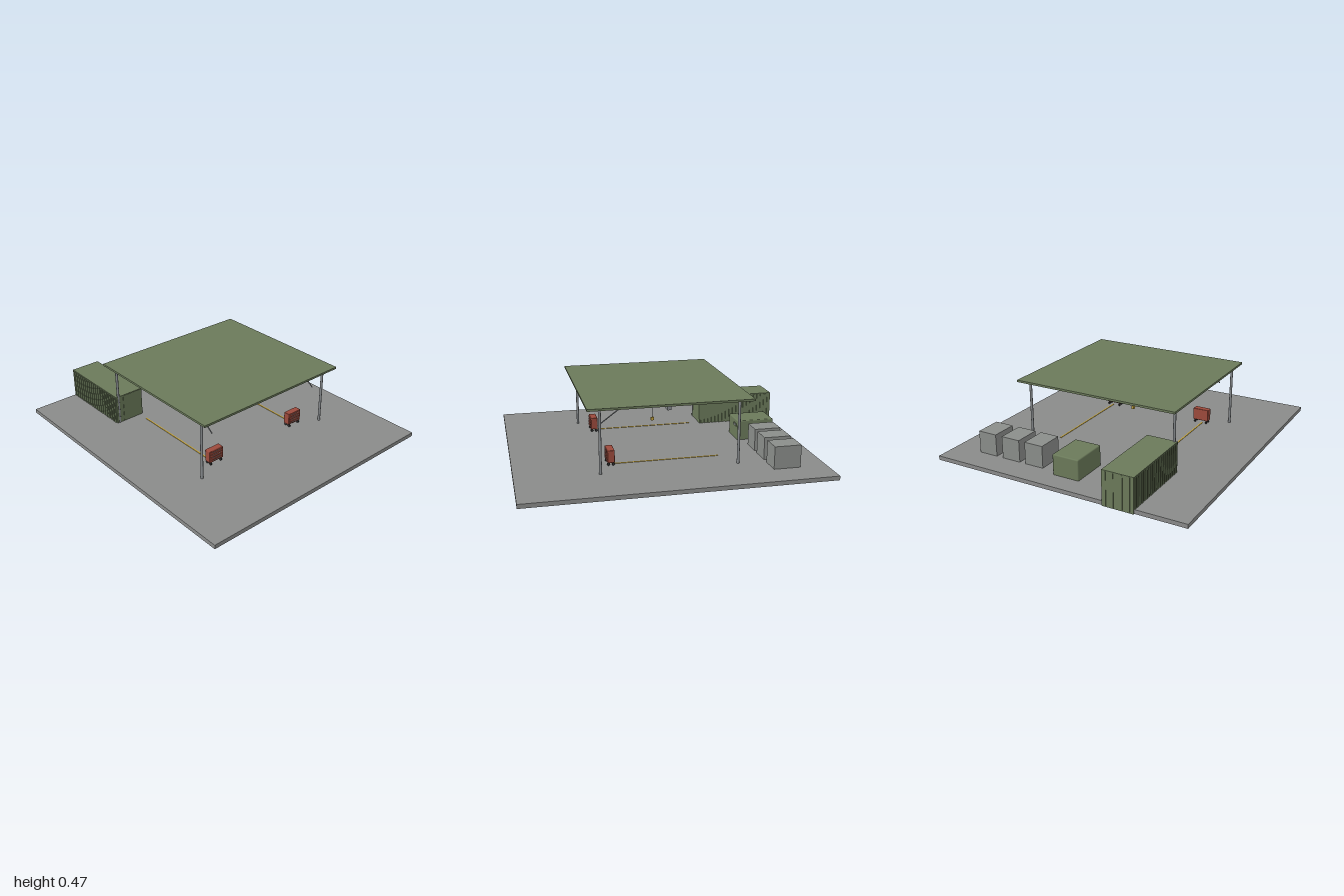
import * as THREE from 'three';
import { RoundedBoxGeometry } from 'three/addons/geometries/RoundedBoxGeometry.js';

const mat = (name, color) => {
  const m = new THREE.MeshStandardMaterial({ color });
  m.name = name;
  return m;
};

export function createModel() {
  const concrete = mat('concrete grey', 0x8a8b8a);
  const olive = mat('olive green', 0x6b7a5a);
  const steel = mat('steel grey', 0x85898c);
  const crateGrey = mat('crate grey', 0x8b8e8b);
  const red = mat('tool red', 0x9c4a3c);
  const yellow = mat('marking yellow', 0xc2a23c);
  const dark = mat('dark rubber', 0x2c2c2c);

  const model = new THREE.Group();
  model.name = 'maintenanceShelter';

  const group = (name, parent = model) => {
    const g = new THREE.Group();
    g.name = name;
    parent.add(g);
    return g;
  };
  const add = (parent, name, geometry, material, x, y, z) => {
    const m = new THREE.Mesh(geometry, material);
    m.name = name;
    m.position.set(x, y, z);
    parent.add(m);
    return m;
  };
  // Box given by its low and high limits on each axis
  const box = (parent, name, material, [x0, x1], [y0, y1], [z0, z1]) =>
    add(parent, name, new THREE.BoxGeometry(x1 - x0, y1 - y0, z1 - z0), material,
      (x0 + x1) / 2, (y0 + y1) / 2, (z0 + z1) / 2);
  // Round bar between two points
  const bar = (parent, name, material, a, b, radius, sides = 8) => {
    const p = new THREE.Vector3(...a), q = new THREE.Vector3(...b);
    const d = q.clone().sub(p);
    const m = add(parent, name, new THREE.CylinderGeometry(radius, radius, d.length(), sides), material,
      (p.x + q.x) / 2, (p.y + q.y) / 2, (p.z + q.z) / 2);
    m.quaternion.setFromUnitVectors(new THREE.Vector3(0, 1, 0), d.normalize());
    return m;
  };

  const floor = 0.03;
  box(model, 'floorSlab', concrete, [-0.9, 0.9], [0.002, floor], [-0.99, 1]);

  // Shelter: roof, posts, trusses and front braces
  const shelter = group('shelter');
  box(shelter, 'roof', olive, [-0.583, 0.583], [0.455, 0.469], [-0.533, 0.543]);
  for (const z of [0.46, -0.443]) {
    for (const x of [-0.54, 0.54]) bar(shelter, 'post', steel, [x, floor, z], [x, 0.456, z], 0.009, 12);
    bar(shelter, 'trussChord', steel, [-0.54, 0.44, z], [0.54, 0.44, z], 0.003);
    const n = 16, step = 1.08 / n;
    for (let i = 0; i < n; i++) {
      const x = -0.54 + i * step, up = i % 2;
      bar(shelter, 'trussWeb', steel, [x, up ? 0.455 : 0.44, z], [x + step, up ? 0.44 : 0.455, z], 0.002, 6);
    }
  }
  for (const x of [-0.452, 0.452]) bar(shelter, 'brace', steel, [x, 0.322, 0.457], [x, 0.456, 0.275], 0.004);

  // Overhead hoist
  const hoist = group('hoist');
  box(hoist, 'hoistBeam', steel, [-0.495, 0.495], [0.405, 0.431], [-0.007, 0.02]);
  bar(hoist, 'hoistCable', steel, [0, 0.456, 0.007], [0, 0.205, 0.007], 0.0025);
  box(hoist, 'hoistHook', yellow, [-0.008, 0.008], [0.19, 0.211], [-0.003, 0.017]);

  // Floor guide lines
  for (const x of [-0.37, 0.37])
    box(model, 'guideLine', yellow, [x - 0.005, x + 0.005], [floor - 0.001, floor + 0.003], [-0.36, 0.36]);

  // Corrugated shipping container
  const container = group('container');
  const cx = -0.454;
  box(container, 'containerBody', olive, [cx - 0.107, cx + 0.107], [0, 0.235], [-0.996, -0.437]);
  const ribs = 20, pitch = 0.55 / ribs;
  for (let i = 0; i < ribs; i++) {
    const z = -0.992 + (i + 0.5) * pitch;
    for (const s of [-1, 1])
      box(container, 'sideRib', olive, [cx + s * 0.109 - 0.003, cx + s * 0.109 + 0.003],
        [0.001, 0.229], [z - pitch * 0.28, z + pitch * 0.28]);
  }
  for (const x of [-0.08, -0.03, 0.03, 0.08])
    box(container, 'doorBar', olive, [cx + x - 0.003, cx + x + 0.003], [0.008, 0.228], [-1, -0.995]);
  box(container, 'endPanel', olive, [cx - 0.05, cx + 0.104], [0.035, 0.232], [-0.438, -0.434]);

  // Generator
  const generator = group('generator');
  add(generator, 'generatorBody', new RoundedBoxGeometry(0.19, 0.145, 0.262, 2, 0.008), olive, 0, 0.0975, -0.72);
  box(generator, 'controlPanel', olive, [0.013, 0.07], [0.121, 0.143], [-0.59, -0.585]);
  for (const x of [0.028, 0.053])
    box(generator, 'gauge', steel, [x - 0.01, x + 0.01], [0.126, 0.138], [-0.586, -0.583]);

  // Row of crates
  for (const x of [0.2675, 0.4475, 0.6325])
    box(model, 'crate', crateGrey, [x - 0.0675, x + 0.0675], [floor - 0.001, 0.181], [-0.81, -0.63]);

  // Tool carts with drawers, handles and casters
  for (const x of [-0.362, 0.358]) {
    const cart = group('toolCart');
    cart.position.set(x, 0, 0.37);
    add(cart, 'cartBody', new RoundedBoxGeometry(0.114, 0.085, 0.048, 2, 0.005), red, 0, 0.0935, 0);
    for (let i = 0; i < 4; i++) {
      const y = 0.064 + i * 0.02;
      box(cart, 'drawer', red, [-0.048, 0.048], [y - 0.007, y + 0.007], [0.023, 0.027]);
      box(cart, 'drawerHandle', steel, [-0.035, 0.035], [y + 0.002, y + 0.004], [0.026, 0.029]);
    }
    for (const wx of [-0.043, 0.043]) for (const wz of [-0.016, 0.016]) {
      bar(cart, 'caster', dark, [wx - 0.004, 0.04, wz], [wx + 0.004, 0.04, wz], 0.01, 12);
      box(cart, 'casterFork', dark, [wx - 0.003, wx + 0.003], [0.04, 0.054], [wz - 0.003, wz + 0.003]);
    }
  }

  return model;
}
